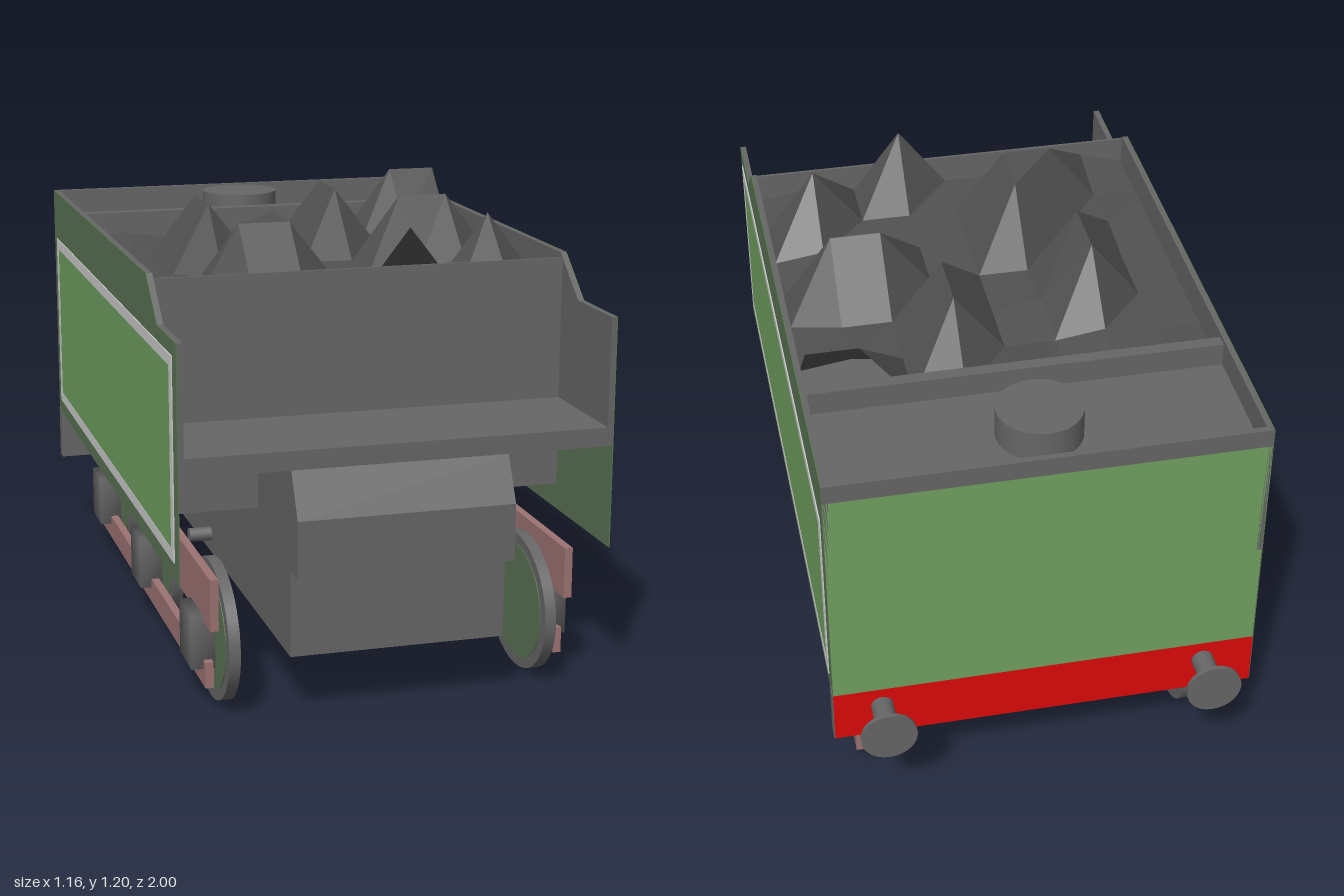
import * as THREE from 'three';
import { mergeVertices } from 'three/addons/utils/BufferGeometryUtils.js';

const mat = (name, color, side = THREE.FrontSide) => {
  const m = new THREE.MeshStandardMaterial({ color, side });
  m.name = name;
  return m;
};

export function createModel() {
  const grey = mat('dark grey', 0x666666);
  const coalGrey = mat('coal', 0x525252, THREE.DoubleSide);
  const green = mat('panel green', 0x70a060);
  const darkGreen = mat('border green', 0x5a7354);
  const white = mat('lining', 0xcccccc);
  const frameRed = mat('frame red', 0x9c7272);
  const red = mat('beam red', 0xdc0808);

  const model = new THREE.Group();
  model.name = 'tender';

  const add = (name, geo, material) => {
    const mesh = new THREE.Mesh(geo, material);
    mesh.name = name;
    model.add(mesh);
  };
  // Box given by its min and max on each axis
  const boxGeo = (x0, x1, y0, y1, z0, z1) => new THREE.BoxGeometry(x1 - x0, y1 - y0, z1 - z0)
    .translate((x0 + x1) / 2, (y0 + y1) / 2, (z0 + z1) / 2);
  const box = (name, material, ...size) => add(name, boxGeo(...size), material);
  // Box with normals shared at its corners
  const softBox = (name, material, ...size) => {
    const geo = boxGeo(...size).deleteAttribute('normal').deleteAttribute('uv');
    const merged = mergeVertices(geo);
    merged.computeVertexNormals();
    add(name, merged, material);
  };
  // Outline of [z, y] points extruded from x0 to x1
  const slab = (name, material, pts, x0, x1, hole) => {
    const shape = new THREE.Shape(pts.map(p => new THREE.Vector2(...p)));
    if (hole) shape.holes.push(new THREE.Path(hole.map(p => new THREE.Vector2(...p))));
    const geo = new THREE.ExtrudeGeometry(shape, { depth: x1 - x0, bevelEnabled: false });
    add(name, geo.rotateY(-Math.PI / 2).translate(x1, 0, 0), material);
  };
  const rect = (z0, z1, y0, y1) => [[z0, y0], [z1, y0], [z1, y1], [z0, y1]];

  // Tank, rear deck and bulkheads
  box('tank', grey, -0.56, 0.56, 0.47, 0.97, -0.865, 0.597);
  box('rearDeck', grey, -0.56, 0.56, 0.97, 1.035, -0.865, -0.49);
  box('rearBulkhead', grey, -0.56, 0.56, 0.97, 1.1, -0.49, -0.455);
  box('frontBulkhead', grey, -0.56, 0.56, 0.47, 1.1, 0.597, 0.605);
  box('shelf', grey, -0.572, 0.572, 0.665, 0.715, 0.605, 0.94);
  add('fillerCap', new THREE.CylinderGeometry(0.115, 0.115, 0.1, 32)
    .translate(-0.015, 1.07, -0.68), grey);

  // Rear plate, with a grey rim and inner liner
  box('rearPlate', green, -0.574, 0.574, 0.4, 1.06, -0.882, -0.872);
  box('rearRim', grey, -0.574, 0.574, 1.06, 1.112, -0.882, -0.872);
  box('rearLiner', grey, -0.558, 0.558, 0.47, 1.112, -0.872, -0.865);

  // Central underframe box with its sloped front
  slab('underframe', grey, [[-0.76, 0.17], [0.93, 0.17], [0.93, 0.4], [1, 0.4],
    [1, 0.55], [0.94, 0.665], [-0.76, 0.665]], -0.287, 0.287);

  // Coal heap: digits are heights of the grid corners, back row first
  const rows = ['010020099', '001009010', '009109001', '009000990',
    '010900010', '009900090', '020009010'];
  const coal = new THREE.PlaneGeometry(1.12, 1.05, 8, 6).rotateX(-Math.PI / 2);
  const pos = coal.attributes.position;
  for (let i = 0; i < pos.count; i++) {
    const h = Number(rows[Math.floor(i / 9)][i % 9]);
    pos.setY(i, 1.02 + 0.18 * h / 9);
  }
  coal.translate(-0.01, 0, 0.073);
  const heap = coal.toNonIndexed();
  heap.computeVertexNormals();
  add('coal', heap, coalGrey);

  // Sides: plate, inner liner, painted border and panel
  const side = bottom => [[0.94, bottom], [0.94, 1.005], [0.72, 1.005],
    [0.59, 1.112], [-0.882, 1.112], [-0.882, bottom]];
  for (const s of [-1, 1]) {
    const name = s > 0 ? 'left' : 'right';
    const span = (a, b) => (s > 0 ? [a, b] : [-b, -a]);
    slab(name + 'SidePlate', darkGreen, side(0.39), ...span(0.572, 0.575));
    slab(name + 'InnerLiner', grey, side(0.715), ...span(0.558, 0.572));
    slab(name + 'Lining', white, rect(-0.83, 0.895, 0.435, 0.965), ...span(0.575, 0.578),
      rect(-0.80, 0.865, 0.465, 0.935));
    slab(name + 'Panel', green, rect(-0.80, 0.865, 0.465, 0.935), ...span(0.575, 0.577));

    // Frames
    const fx = s > 0 ? 0.494 : -0.468;
    box(name + 'Frame', frameRed, fx - 0.011, fx + 0.011, 0.232, 0.37, -0.862, 0.862);
    box(name + 'LowerBar', frameRed, fx - 0.011, fx + 0.011, 0.055, 0.125, -0.76, 0.8);

    // Wheels and axle boxes
    const wx = s > 0 ? 0.423 : -0.43;
    const bx = s > 0 ? 0.486 : -0.47;
    for (const z of [0.706, 0.043, -0.588]) {
      const disc = (r, w) => new THREE.CylinderGeometry(r, r, w, 40)
        .rotateZ(Math.PI / 2).scale(1, 1, 1.18).translate(wx, 0.185, z);
      add(name + 'Tyre', disc(0.185, 0.03), grey);
      add(name + 'WheelFace', disc(0.157, 0.034), darkGreen);
      softBox(name + 'AxleBox', grey, bx - 0.04, bx + 0.04, 0.1, 0.248, z - 0.07, z + 0.07);
    }

    // Rear bumpers
    const ux = s > 0 ? 0.445 : -0.435;
    const rod = (r, z0, z1) => new THREE.CylinderGeometry(r, r, z1 - z0, 28)
      .rotateX(Math.PI / 2).translate(ux, 0.342, (z0 + z1) / 2);
    add(name + 'BumperShaft', rod(0.03, -0.99, -0.84), grey);
    add(name + 'BumperHead', rod(0.075, -1, -0.988), grey);
  }

  // Axles
  for (const z of [0.043, -0.588])
    add('axle', new THREE.CylinderGeometry(0.02, 0.02, 0.72, 16)
      .rotateZ(Math.PI / 2).translate(0.008, 0.225, z), grey);

  // Rear beam with red rear face
  box('rearBeam', grey, -0.577, 0.577, 0.24, 0.4, -0.878, -0.84);
  box('beamFace', red, -0.574, 0.574, 0.242, 0.4, -0.882, -0.878);

  return model;
}
